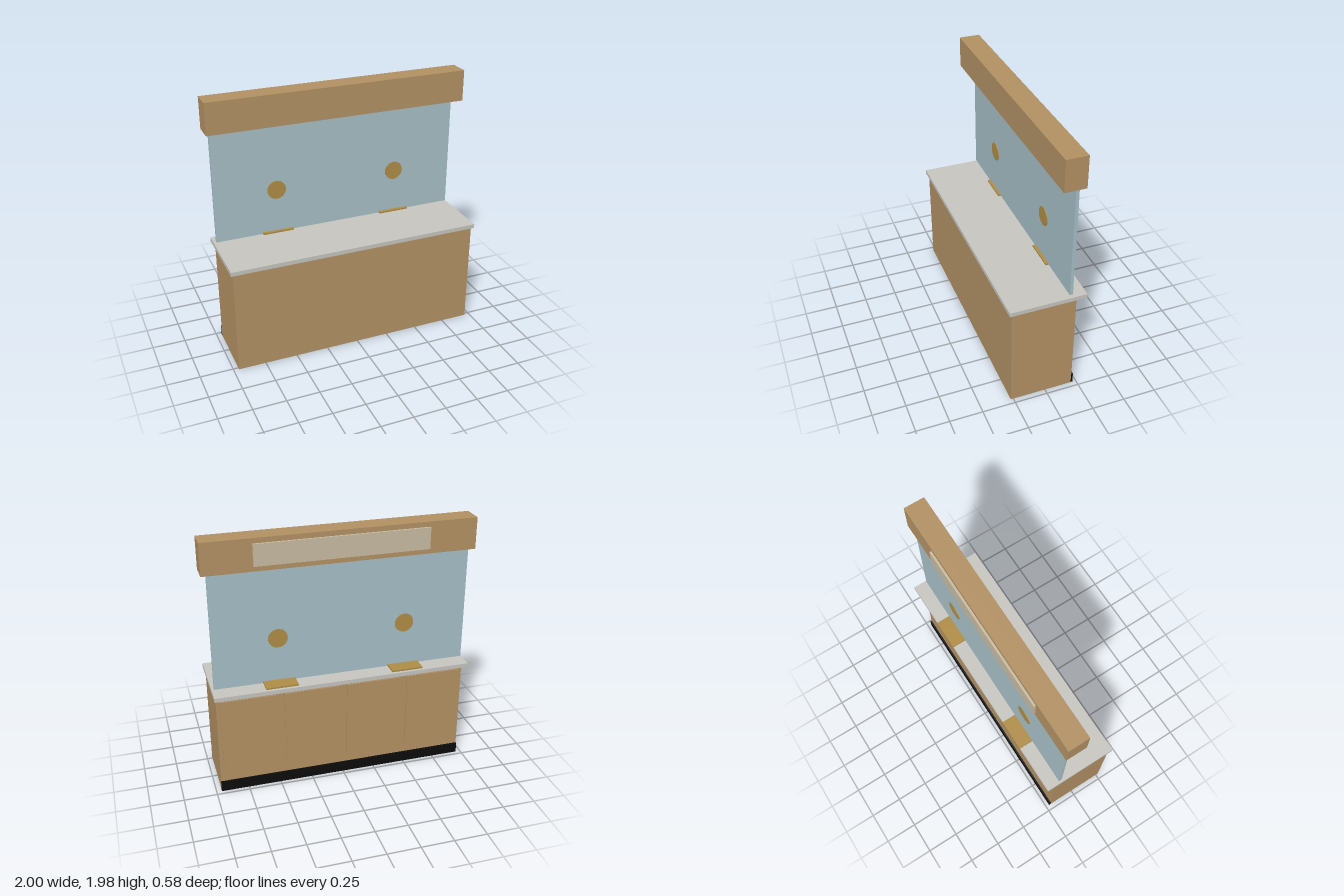
import * as THREE from 'three';

const mat = (name, color) => {
  const m = new THREE.MeshStandardMaterial({ color });
  m.name = name;
  return m;
};

export function createModel() {
  const group = new THREE.Group();
  group.name = 'serviceCounter';

  const wood = mat('wood', 0xb39264);
  const stone = mat('stone', 0xc7c6c0);
  const glass = mat('glass', 0xa7c0c8);
  const brass = mat('brass', 0xb08d46);
  const black = mat('black', 0x0c0c0c);
  const cream = mat('cream', 0xc8bca2);

  // Box given by its lower and upper limits on each axis
  const box = (name, material, [x0, x1], [y0, y1], [z0, z1]) => {
    const mesh = new THREE.Mesh(new THREE.BoxGeometry(x1 - x0, y1 - y0, z1 - z0), material);
    mesh.position.set((x0 + x1) / 2, (y0 + y1) / 2, (z0 + z1) / 2);
    mesh.name = name;
    group.add(mesh);
  };

  // Cabinet, worktop and kick plate
  box('cabinet', wood, [-0.96, 0.96], [0, 0.812], [-0.21, 0.27]);
  box('worktop', stone, [-0.976, 0.976], [0.812, 0.844], [-0.285, 0.29]);
  box('kickPlate', black, [-0.961, 0.961], [0.003, 0.085], [-0.222, -0.208]);

  // Cupboard doors on the staff side
  for (const x of [-0.72, -0.24, 0.24, 0.72]) {
    box('cupboardDoor', wood, [x - 0.21, x + 0.21], [0.17, 0.766], [-0.22, -0.21]);
  }

  // Screen, with a speaking disc and a tray at each position
  box('screen', glass, [-0.96, 0.96], [0.86, 1.742], [-0.18, -0.156]);
  for (const x of [-0.48, 0.48]) {
    const disc = new THREE.Mesh(new THREE.CylinderGeometry(0.072, 0.072, 0.034, 32), brass);
    disc.rotation.x = Math.PI / 2;
    disc.position.set(x, 1.207, -0.168);
    disc.name = 'speakingDisc';
    group.add(disc);
    box('tray', brass, [x - 0.12, x + 0.12], [0.861, 0.873], [-0.292, -0.132]);
  }

  // Header beam with a plain panel on its back
  box('header', wood, [-1, 1], [1.742, 1.98], [-0.212, -0.052]);
  box('headerPanel', cream, [-0.64, 0.64], [1.781, 1.942], [-0.228, -0.212]);

  return group;
}
